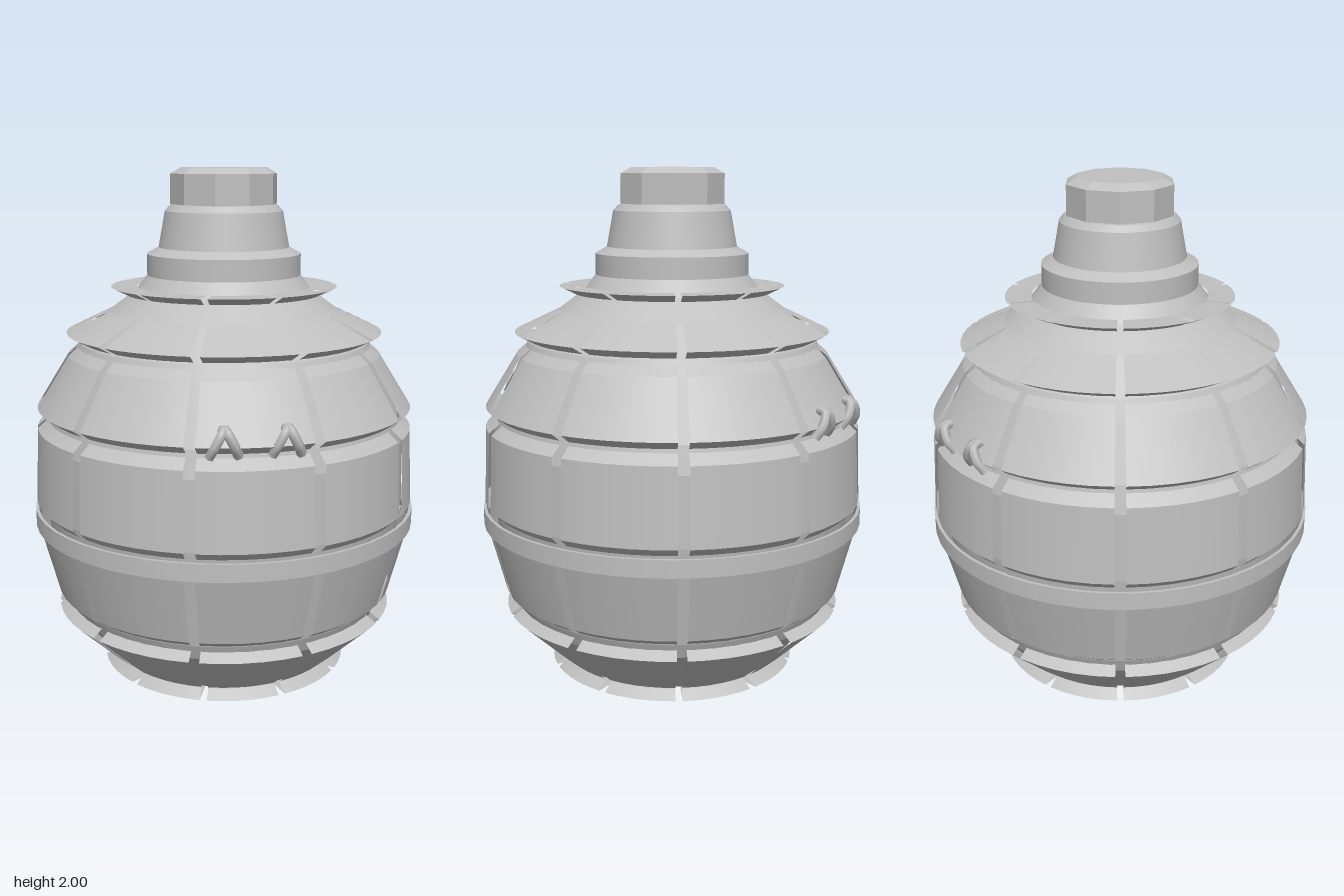
import * as THREE from 'three';
import { mergeGeometries } from 'three/addons/utils/BufferGeometryUtils.js';

const steel = new THREE.MeshStandardMaterial({ color: 0xc0c0c0, side: THREE.DoubleSide });
steel.name = 'light grey steel';

const PLATES = 10;
const STEP = (Math.PI * 2) / PLATES;
const GAP = 0.056; // angle left open between neighbouring plates

// Turned surface with sharp edges between profile points, smooth around the axis
function turned(profile, segments, start = 0, length = Math.PI * 2) {
  const rings = [];
  for (let i = 0; i < profile.length - 1; i++) {
    const pair = [profile[i], profile[i + 1]].map(([r, y]) => new THREE.Vector2(r, y));
    rings.push(new THREE.LatheGeometry(pair, segments, start, length));
  }
  return mergeGeometries(rings);
}

function addPart(parent, name, geometry) {
  const mesh = new THREE.Mesh(geometry, steel);
  mesh.name = name;
  parent.add(mesh);
  return mesh;
}

export function createModel() {
  const model = new THREE.Group();
  model.name = 'segmentedCanister';

  // Inner barrel with shoulder and stepped neck, listed from the bottom up
  addPart(model, 'innerBody', turned([
    [0, 0], [0.26, 0], [0.35, 0.05], [0.445, 0.085], [0.615, 0.28], [0.64, 0.34],
    [0.695, 0.62], [0.708, 0.72], [0.704, 0.98], [0.68, 1.08], [0.588, 1.29],
    [0.56, 1.35], [0.445, 1.462], [0.34, 1.54], [0.295, 1.6],
  ], 50));
  addPart(model, 'neck', turned([
    [0.295, 1.6], [0.295, 1.68], [0.25, 1.705], [0.225, 1.84], [0.205, 1.862], [0.15, 1.87],
  ], 50));

  // Ten-sided cap with a bevelled top
  const cap = new THREE.Group();
  cap.name = 'cap';
  model.add(cap);
  const capSide = new THREE.CylinderGeometry(0.205, 0.205, 0.113, 10).toNonIndexed();
  const capBevel = new THREE.CylinderGeometry(0.165, 0.205, 0.022, 10).toNonIndexed();
  capSide.translate(0, 1.9215, 0);
  capBevel.translate(0, 1.989, 0);
  [['capSide', capSide], ['capBevel', capBevel]].forEach(([name, g]) => {
    g.rotateY(Math.PI / 2);
    g.computeVertexNormals();
    addPart(cap, name, g);
  });

  // Rows of thin curved armour plates, each with a folded lip
  const rows = {
    bottomFlange: [[0.35, 0.052], [0.49, 0.048], [0.45, 0.08], [0.42, 0.085]],
    lowerPlate: [[0.455, 0.085], [0.505, 0.13], [0.67, 0.29], [0.62, 0.322]],
    underBeltPlate: [[0.635, 0.34], [0.672, 0.368], [0.74, 0.63]],
    middlePlate: [[0.715, 0.70], [0.745, 0.73], [0.732, 1.02], [0.69, 1.055]],
    upperPlate: [[0.69, 1.07], [0.73, 1.1], [0.605, 1.3], [0.565, 1.335]],
    shoulderPlate: [[0.55, 1.353], [0.61, 1.385], [0.44, 1.466]],
    collarFlange: [[0.38, 1.53], [0.435, 1.557], [0.335, 1.557]],
  };
  for (const [name, profile] of Object.entries(rows)) {
    const row = new THREE.Group();
    row.name = name + 'Row';
    model.add(row);
    const plate = turned(profile, 5, -STEP / 2 + GAP / 2, STEP - GAP);
    for (let i = 0; i < PLATES; i++) addPart(row, name, plate).rotation.y = i * STEP;
  }

  // Continuous hoop around the widest point
  addPart(model, 'belt', turned([
    [0.74, 0.632], [0.752, 0.632], [0.752, 0.698], [0.74, 0.698], [0.74, 0.632],
  ], 50));

  // Pairs of bent hooks on the front and back
  const leg = (side) => new THREE.CatmullRomCurve3([
    new THREE.Vector3(side * 0.05, 1.065, 0.7),
    new THREE.Vector3(side * 0.033, 1.105, 0.722),
    new THREE.Vector3(side * 0.008, 1.152, 0.718),
    new THREE.Vector3(side * 0.003, 1.158, 0.69),
  ]);
  for (const facing of [0, Math.PI]) {
    const pair = new THREE.Group();
    pair.name = facing ? 'backHooks' : 'frontHooks';
    pair.rotation.y = facing;
    model.add(pair);
    for (const x of [-0.108, 0.108]) {
      for (const side of [-1, 1]) {
        addPart(pair, 'hookLeg', new THREE.TubeGeometry(leg(side), 8, 0.018, 6)).position.x = x;
      }
    }
  }
  return model;
}
